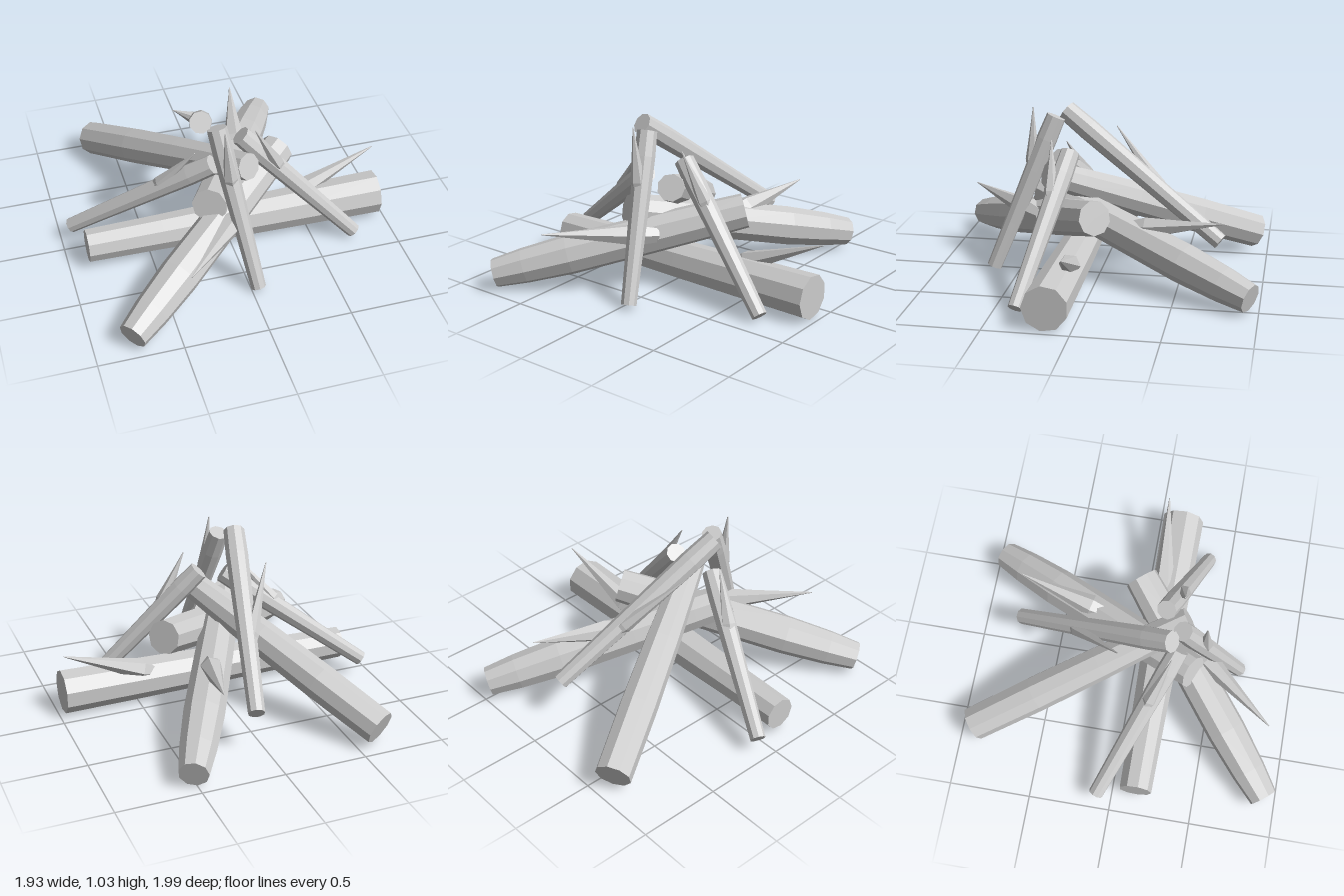
import * as THREE from 'three';

const SIDES = 9;
const material = new THREE.MeshStandardMaterial({ color: 0xcccccc, flatShading: true });
const UP = new THREE.Vector3(0, 1, 0);

// Closed faceted limb from point a to point b; profile is a list of [fraction, radius]
function limb(name, a, b, profile, sides = SIDES) {
  const start = new THREE.Vector3(...a);
  const axis = new THREE.Vector3(...b).sub(start);
  const length = axis.length();
  const points = profile.map(([t, r]) => new THREE.Vector2(r, t * length));
  points.unshift(new THREE.Vector2(0, points[0].y));
  points.push(new THREE.Vector2(0, points[points.length - 1].y));
  const mesh = new THREE.Mesh(new THREE.LatheGeometry(points, sides), material);
  mesh.name = name;
  mesh.position.copy(start);
  mesh.quaternion.setFromUnitVectors(UP, axis.normalize());
  return mesh;
}

// Log or stick with an optional broken, pointed side branch
function log({ name, from, to, profile, branch }) {
  const group = new THREE.Group();
  group.name = name;
  group.add(limb(name + 'Trunk', from, to, profile));
  if (branch) {
    const r = branch.radius;
    const spike = [[0, r * 0.7], [0.2, r], [0.5, r * 0.62], [0.8, r * 0.27], [1, 0.003]];
    group.add(limb(name + 'Branch', branch.from, branch.to, spike, 6));
  }
  return group;
}

const thick = [[0, 0.088], [0.12, 0.108], [0.3, 0.122], [0.6, 0.118], [0.85, 0.112], [1, 0.105]];
const thin = [[0, 0.046], [0.3, 0.052], [0.65, 0.06], [0.85, 0.064], [1, 0.06]];

const logs = [
  // Heavy logs
  {
    name: 'groundLog', from: [-0.88, 0.14, 0.145], to: [0.965, 0.147, 0.147],
    profile: [[0, 0.1], [0.25, 0.108], [0.5, 0.12], [0.75, 0.128], [1, 0.134]],
    branch: { from: [0.36, 0.18, 0.11], to: [0.965, 0.43, 0.05], radius: 0.065 },
  },
  {
    name: 'frontLog', from: [-0.78, 0.11, 0.925], to: [0.37, 0.485, -0.03], profile: thick,
    branch: { from: [0.02, 0.37, 0.36], to: [-0.42, 0.425, 0.88], radius: 0.068 },
  },
  {
    name: 'backLeftLog', from: [0.53, 0.11, -0.95], to: [-0.18, 0.48, 0.38], profile: thick,
    branch: { from: [0.15, 0.36, -0.2], to: [0.28, 0.46, -0.77], radius: 0.068 },
  },
  {
    name: 'backRightLog', from: [-0.63, 0.13, -0.92], to: [0.08, 0.66, 0.31],
    profile: [[0, 0.107], [0.3, 0.112], [0.6, 0.105], [0.85, 0.092], [1, 0.082]],
  },
  // Slender leaning sticks
  {
    name: 'backStick', from: [0.07, 0.28, -0.74], to: [-0.19, 0.985, 0.24],
    profile: thin.map(([t, r]) => [t, r * 1.08]),
    branch: { from: [-0.01, 0.5, -0.42], to: [-0.275, 0.88, -0.06], radius: 0.045 },
  },
  {
    name: 'frontStick', from: [0.04, 0.03, 0.66], to: [-0.11, 0.965, 0.29], profile: thin,
    branch: { from: [-0.06, 0.62, 0.43], to: [-0.1, 1.02, 0.43], radius: 0.045 },
  },
  {
    name: 'leftStick', from: [0.75, 0.05, 0.36], to: [0.07, 0.79, 0.17], profile: thin,
    branch: { from: [0.31, 0.53, 0.24], to: [0.13, 0.88, 0.27], radius: 0.045 },
  },
  {
    name: 'rightStick', from: [-0.935, 0.12, -0.09], to: [-0.13, 0.7, 0.28], profile: thin,
    branch: { from: [-0.46, 0.47, 0.13], to: [-0.23, 0.78, 0.25], radius: 0.045 },
  },
];

export function createModel() {
  const model = new THREE.Group();
  model.name = 'logPile';
  logs.forEach((spec) => model.add(log(spec)));
  return model;
}
